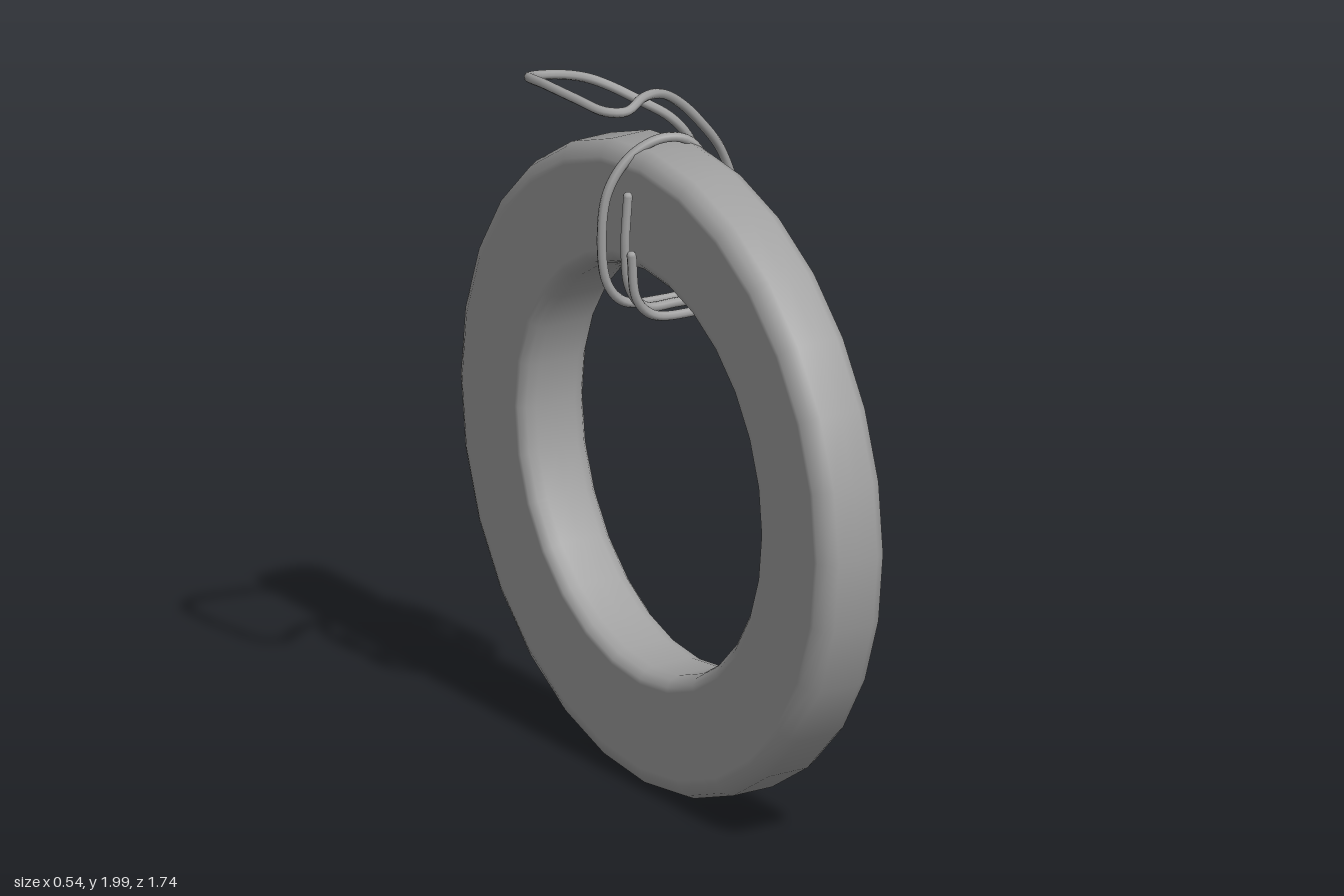
import * as THREE from 'three';

export function createModel() {
  const group = new THREE.Group();
  group.name = 'ringWithWire';
  const grey = new THREE.MeshStandardMaterial({ color: 0xa0a0a0 });
  grey.name = 'grey';

  // Ring: bevelled rectangular section revolved around the x axis
  const inner = 0.545, outer = 0.87, half = 0.1;
  const section = [
    [inner, 0], [inner, 0.06], [inner + 0.008, 0.085], [inner + 0.025, half], [inner + 0.04, half],
    [outer - 0.055, half], [outer - 0.04, half], [outer - 0.012, 0.085], [outer, 0.06], [outer, 0],
  ];
  const mirrored = section.slice(0, -1).reverse().map(([r, h]) => [r, -h]);
  const profile = [...section, ...mirrored].reverse().map(([r, h]) => new THREE.Vector2(r, h));
  const ring = new THREE.Mesh(new THREE.LatheGeometry(profile, 28), grey);
  ring.name = 'ring';
  ring.rotation.z = -Math.PI / 2;
  ring.position.set(0.11, 0.875, 0);
  group.add(ring);

  // Wire: one strand, from the free end, through the handle loop, to the other free end
  const path = [
    // first free end, rising beside the ring
    [-0.055, 1.5, 0.06], [-0.04, 1.38, 0.06], [0.01, 1.325, 0.06],
    // under the ring and up the outer side
    [0.11, 1.31, 0.063], [0.2, 1.32, 0.066], [0.243, 1.38, 0.07], [0.255, 1.5, 0.08],
    [0.24, 1.64, 0.092], [0.195, 1.755, 0.1], [0.12, 1.85, 0.118], [0.05, 1.92, 0.132],
    // handle loop
    [-0.03, 1.972, 0.16], [-0.11, 1.987, 0.195], [-0.18, 1.972, 0.224], [-0.225, 1.972, 0.195],
    [-0.25, 1.982, 0.1], [-0.262, 1.985, -0.04], [-0.25, 1.973, -0.125], [-0.205, 1.957, -0.165],
    [-0.12, 1.94, -0.173], [-0.04, 1.915, -0.172], [0.01, 1.892, -0.15], [0.075, 1.852, -0.1],
    [0.15, 1.8, -0.068], [0.21, 1.725, -0.062],
    // second pass under the ring
    [0.243, 1.62, -0.06], [0.25, 1.5, -0.06], [0.24, 1.38, -0.062], [0.2, 1.315, -0.065],
    [0.11, 1.305, -0.07], [0.01, 1.32, -0.074], [-0.04, 1.38, -0.077], [-0.056, 1.5, -0.078],
    [-0.04, 1.63, -0.074], [0.02, 1.72, -0.06],
    // over the top and down the outer side
    [0.1, 1.762, -0.035], [0.17, 1.75, -0.014], [0.22, 1.67, -0.002], [0.25, 1.5, 0],
    [0.24, 1.38, 0.002], [0.2, 1.325, 0.003],
    // last pass and free end
    [0.11, 1.32, 0.004], [0.02, 1.33, 0.005], [-0.025, 1.39, 0.005], [-0.038, 1.5, 0.005], [-0.03, 1.64, 0.005],
  ].map((p) => new THREE.Vector3(...p));
  const radius = 0.013;
  const curve = new THREE.CatmullRomCurve3(path);
  const wire = new THREE.Mesh(new THREE.TubeGeometry(curve, 300, radius, 8), grey);
  wire.name = 'wire';
  group.add(wire);

  // Rounded tips on the free ends
  for (const end of [path[0], path[path.length - 1]]) {
    const tip = new THREE.Mesh(new THREE.SphereGeometry(radius, 8, 6), grey);
    tip.name = 'wireTip';
    tip.position.copy(end);
    group.add(tip);
  }
  return group;
}
